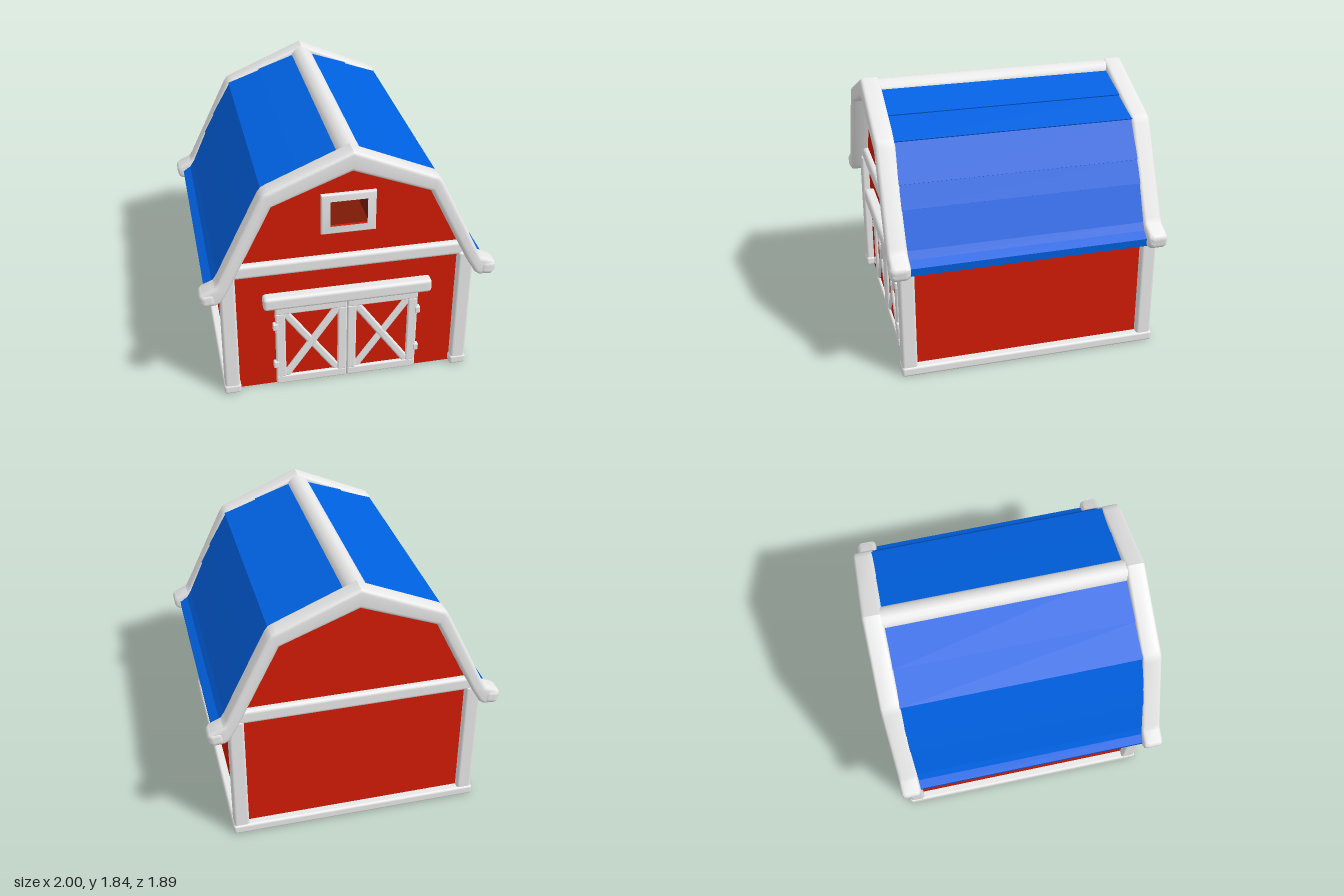
import * as THREE from 'three';
import { toCreasedNormals } from 'three/addons/utils/BufferGeometryUtils.js';
import { RoundedBoxGeometry } from 'three/addons/geometries/RoundedBoxGeometry.js';

const mat = (name, color, extra = {}) => {
  const m = new THREE.MeshStandardMaterial({ color, ...extra });
  m.name = name;
  return m;
};

export function createModel() {
  const barn = new THREE.Group();
  barn.name = 'barn';
  const red = mat('barn red', 0xd01b04);
  const blue = mat('roof blue', 0x0060e0);
  const white = mat('trim white', 0xf4f4f4);
  const dark = mat('loft shade', 0x7c1a06, { side: THREE.BackSide });

  const add = (name, geo, material, parent = barn) => {
    const mesh = new THREE.Mesh(geo, material);
    mesh.name = name;
    parent.add(mesh);
    return mesh;
  };
  // Box given by its min and max corners; radius > 0 rounds the edges
  const block = (name, material, [x0, x1], [y0, y1], [z0, z1], radius = 0, parent = barn) => {
    const s = [x1 - x0, y1 - y0, z1 - z0];
    const geo = radius ? new RoundedBoxGeometry(...s, 3, radius) : new THREE.BoxGeometry(...s);
    const mesh = add(name, geo, material, parent);
    mesh.position.set((x0 + x1) / 2, (y0 + y1) / 2, (z0 + z1) / 2);
    return mesh;
  };
  const side = (s, a, b) => (s > 0 ? [a, b] : [-b, -a]);
  const vec = (pts) => pts.map(([x, y]) => new THREE.Vector2(x, y));
  // Closed outline from a right half, mirrored across x = 0
  const mirrored = (half) => [...half, ...half.filter((p) => p[0] > 0).reverse().map(([x, y]) => [-x, y])];
  const rect = (x0, x1, y0, y1) => [[x0, y0], [x0, y1], [x1, y1], [x1, y0]];
  const outline = (pts, ...holes) => {
    const shape = new THREE.Shape(vec(pts));
    shape.holes.push(...holes.map((h) => new THREE.Path(vec(h))));
    return shape;
  };

  // End walls with gables; the front one has door and window openings
  const gable = mirrored([[0.81, 0], [0.81, 1.02], [0.54, 1.54], [0, 1.76]]);
  const wall = (name, z, ...holes) => {
    const geo = new THREE.ExtrudeGeometry(outline(gable, ...holes), { depth: 0.02, bevelEnabled: false });
    add(name, geo, red).position.z = z;
  };
  wall('frontWall', 0.79, rect(-0.497, 0.497, 0.001, 0.66), rect(-0.14, 0.14, 1.24, 1.46));
  wall('backWall', -0.875);
  block('loftFloor', red, [-0.8, 0.8], [0.92, 0.94], [-0.87, 0.8]);

  // Sides, corner posts and sill beams
  for (const s of [1, -1]) {
    block('sideWall', red, side(s, 0.79, 0.81), [0, 1], [-0.87, 0.8]);
    block('sideSill', white, side(s, 0.75, 0.868), [0, 0.07], [-0.93, 0.87], 0.018);
    block('frontPost', white, side(s, 0.757, 0.86), [0.03, 0.955], [0.762, 0.865], 0.018);
    block('backPost', white, side(s, 0.757, 0.86), [0.03, 0.955], [-0.92, -0.817], 0.018);
  }
  block('backSill', white, [-0.865, 0.865], [0, 0.07], [-0.93, -0.815], 0.018);
  block('frontBeam', white, [-0.805, 0.805], [0.93, 1.032], [0.77, 0.85], 0.025);
  block('backBeam', white, [-0.805, 0.805], [0.93, 1.032], [-0.915, -0.84], 0.025);

  // Roof: overlapping boards, each with a small step at its lower edge
  const roofHalf = [
    [0, 1.8], [0.333, 1.682], [0.33, 1.674], [0.566, 1.587], [0.562, 1.58],
    [0.695, 1.34], [0.69, 1.337], [0.766, 1.195], [0.76, 1.192],
    [0.868, 0.955], [0.9, 0.905], [0.955, 0.87], [0.95, 0.815],
    [0.88, 0.825], [0.83, 0.93], [0.53, 1.53], [0, 1.74],
  ];
  for (const s of [1, -1]) {
    const shape = outline(roofHalf.map(([x, y]) => [s * x, y]));
    add('roofSlope', new THREE.ExtrudeGeometry(shape, { depth: 1.624, bevelEnabled: false }), blue)
      .position.z = -0.812;
  }

  // Rounded ridge cap following the roof pitch
  const capTop = [[0.077, 1.765], [0.071, 1.788], [0.052, 1.81], [0.026, 1.825], [0, 1.832]];
  const capGeo = new THREE.ExtrudeGeometry(
    outline([[0.074, 1.735], ...capTop, ...capTop.slice(0, -1).reverse().map(([x, y]) => [-x, y]), [-0.074, 1.735]]),
    { depth: 1.64, bevelEnabled: false },
  );
  add('ridgeCap', toCreasedNormals(capGeo, 0.9), white).position.z = -0.82;

  // Gable trim with flared, rounded ends
  const trimHalf = [
    [0, 1.84], [0.53, 1.612], [0.565, 1.595], [0.59, 1.56], [0.87, 0.985], [0.895, 0.945], [0.975, 0.91],
    [0.995, 0.885], [0.995, 0.84], [0.975, 0.812], [0.945, 0.804],
    [0.885, 0.81], [0.855, 0.832], [0.8, 0.925], [0.515, 1.5], [0, 1.7],
  ];
  const trimLoop = [...trimHalf, ...trimHalf.slice(1, -1).reverse().map(([x, y]) => [-x, y])];
  const trimGeo = toCreasedNormals(new THREE.ExtrudeGeometry(outline(trimLoop), {
    depth: 0.084, bevelThickness: 0.025, bevelSize: 0.025, bevelOffset: -0.025, bevelSegments: 4,
  }), 0.6);
  for (const s of [1, -1]) {
    const end = s > 0 ? 'front' : 'back';
    add(end + 'GableTrim', trimGeo, white).position.z = s * 0.87 - 0.042;
    for (const t of [1, -1]) {
      const tip = add(end + 'TrimTip', new RoundedBoxGeometry(0.112, 0.112, 0.142, 5, 0.04), white);
      tip.position.set(t * 0.941, 0.859, s * 0.872);
      tip.rotation.z = -t * 0.15;
    }
  }

  // Loft window: frame and shaded recess
  const frameGeo = new THREE.ExtrudeGeometry(
    outline(rect(-0.182, 0.182, 1.2, 1.492), rect(-0.135, 0.135, 1.246, 1.453)),
    { depth: 0.036, bevelThickness: 0.012, bevelSize: 0.012, bevelOffset: -0.012, bevelSegments: 3 },
  );
  add('windowFrame', toCreasedNormals(frameGeo, 0.6), white).position.z = 0.79;
  const recess = block('windowRecess', dark, [-0.145, 0.145], [1.235, 1.465], [0.45, 0.792]);
  // Drop the recess face that lies in the opening (+z is the fifth box side)
  const idx = Array.from(recess.geometry.index.array);
  idx.splice(24, 6);
  recess.geometry.setIndex(idx);
  recess.geometry.clearGroups();

  // Double doors, framed and cross-braced on both faces
  for (const s of [1, -1]) {
    const door = new THREE.Group();
    door.name = s > 0 ? 'leftDoor' : 'rightDoor';
    barn.add(door);
    const z = [0.775, 0.835];
    block('doorPanel', red, side(s, 0.02, 0.48), [0.02, 0.65], [0.795, 0.815], 0, door);
    block('innerStile', white, side(s, 0.001, 0.065), [0.06, 0.605], z, 0.012, door);
    block('outerStile', white, side(s, 0.428, 0.497), [0.06, 0.605], z, 0.012, door);
    block('bottomRail', white, side(s, 0.001, 0.497), [0.003, 0.07], z, 0.012, door);
    block('topRail', white, side(s, 0.001, 0.497), [0.597, 0.66], z, 0.012, door);
    const w = 0.365, h = 0.53;
    for (const d of [1, -1]) {
      const brace = add('brace', new RoundedBoxGeometry(Math.hypot(w, h) + 0.01, 0.056, 0.05 - d * 0.004, 3, 0.016), white, door);
      brace.position.set(s * 0.2465, 0.335, 0.805);
      brace.rotation.z = s * d * Math.atan2(h, w);
    }
    for (const y of [0.15, 0.475]) block('hinge', white, side(s, 0.48, 0.515), [y, y + 0.055], [0.79, 0.842], 0.008, door);
  }
  block('doorRail', white, [-0.578, 0.578], [0.67, 0.77], [0.79, 0.88], 0.025);

  return barn;
}
